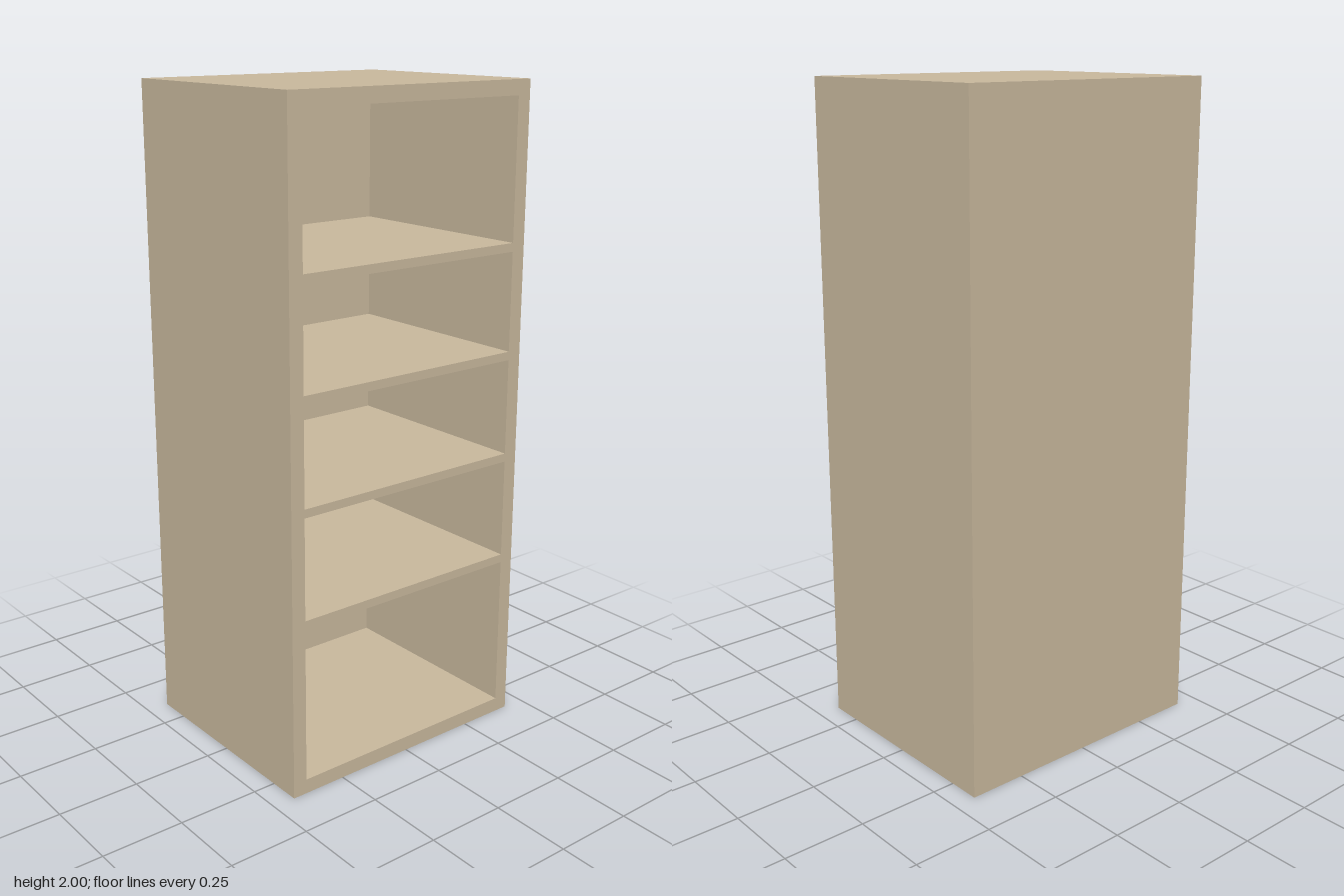
import * as THREE from 'three';

const W = 0.86, H = 2, D = 0.7, WALL = 0.045, BACK = 0.043, SHELF = 0.026;

export function createModel() {
  const group = new THREE.Group();
  group.name = 'bookcase';
  const wood = new THREE.MeshStandardMaterial({ color: 0xc8b89d });
  wood.name = 'light wood';

  const add = (name, geometry, x, y, z) => {
    const mesh = new THREE.Mesh(geometry, wood);
    mesh.name = name;
    mesh.position.set(x, y, z);
    group.add(mesh);
  };

  // Rectangle from bottom left corner to top right corner
  const rectangle = (Type, x, y0, y1) => new Type([
    new THREE.Vector2(-x, y0), new THREE.Vector2(x, y0),
    new THREE.Vector2(x, y1), new THREE.Vector2(-x, y1),
  ]);

  // Outer frame: sides, top and bottom in one piece
  const innerX = W / 2 - WALL;
  const outline = rectangle(THREE.Shape, W / 2, 0, H);
  outline.holes.push(rectangle(THREE.Path, innerX, WALL, H - WALL));
  const innerDepth = D - BACK;
  add('frame', new THREE.ExtrudeGeometry(outline, { depth: innerDepth, bevelEnabled: false }),
    0, 0, -D / 2 + BACK);

  // Closed back
  add('backPanel', new THREE.BoxGeometry(W, H, BACK), 0, H / 2, -D / 2 + BACK / 2);

  // Shelves, flush with the front, listed by their top heights
  [0.55, 0.884, 1.206, 1.534].forEach((top, i) => {
    add(`shelf${i + 1}`, new THREE.BoxGeometry(innerX * 2, SHELF, innerDepth),
      0, top - SHELF / 2, BACK / 2);
  });

  return group;
}
